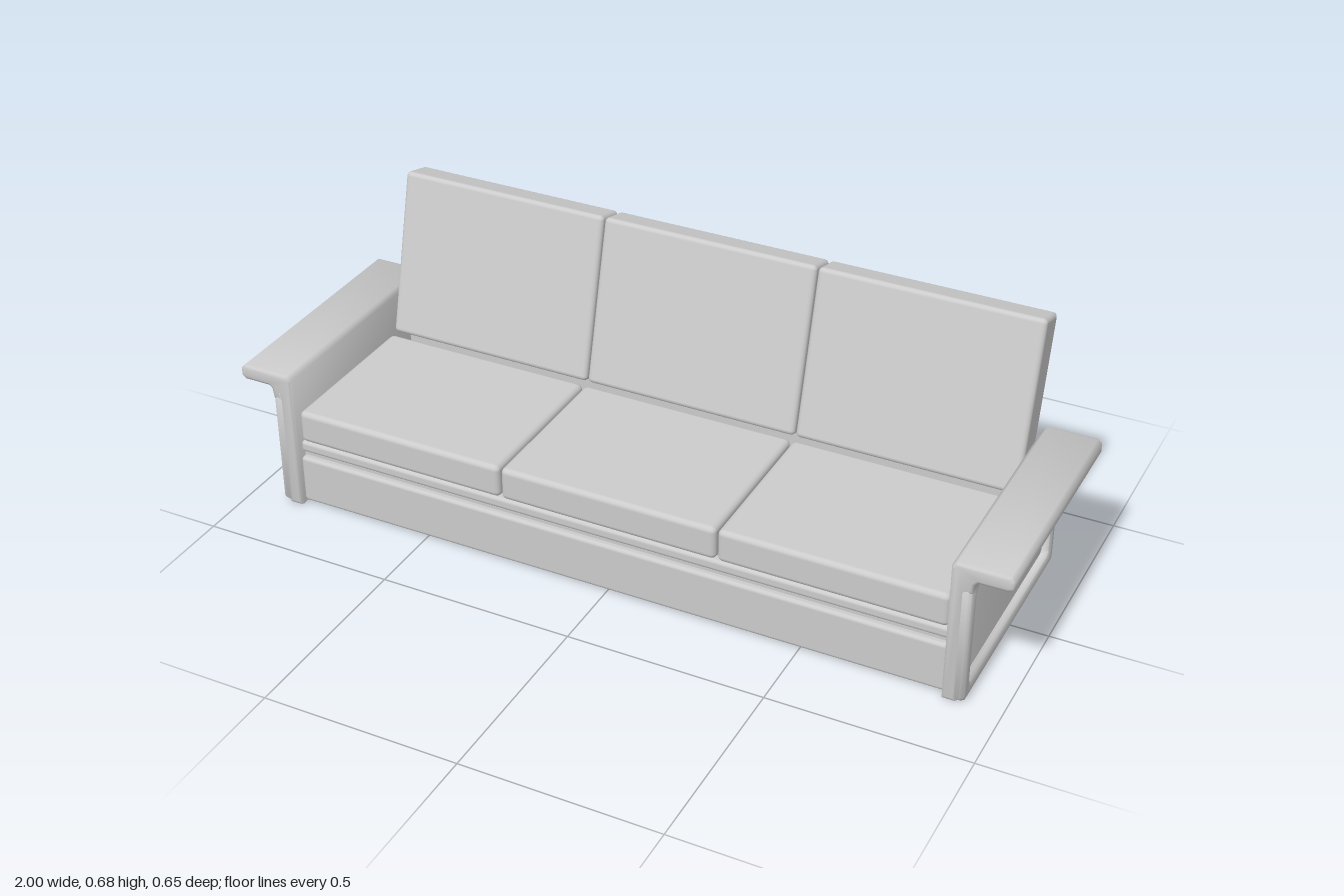
import * as THREE from 'three';
import { toCreasedNormals } from 'three/addons/utils/BufferGeometryUtils.js';
import { RoundedBoxGeometry } from 'three/addons/geometries/RoundedBoxGeometry.js';

const material = new THREE.MeshStandardMaterial({ color: 0xcccccc });

function add(parent, name, geometry, x = 0, y = 0, z = 0) {
  const mesh = new THREE.Mesh(geometry, material);
  mesh.name = name;
  mesh.position.set(x, y, z);
  parent.add(mesh);
  return mesh;
}

// Box with softened edges, given by its limits in y and z
function rail(parent, name, width, y0, y1, z0, z1, radius) {
  const geometry = new RoundedBoxGeometry(width, y1 - y0, z1 - z0, 2, radius);
  return add(parent, name, geometry, 0, (y0 + y1) / 2, (z0 + z1) / 2);
}

// Rectangle with cut corners
function cutRect(w, h, c) {
  return [
    [-w + c, -h], [w - c, -h], [w, -h + c], [w, h - c],
    [w - c, h], [-w + c, h], [-w, h - c], [-w, -h + c],
  ].map(([x, y]) => new THREE.Vector2(x, y));
}

function bevelled(shape, depth, bevel) {
  const geometry = new THREE.ExtrudeGeometry(shape, {
    depth: depth - 2 * bevel, bevelEnabled: true,
    bevelSize: bevel, bevelThickness: bevel, bevelSegments: 2,
  });
  geometry.translate(0, 0, bevel - depth / 2);
  return toCreasedNormals(geometry, 0.9);
}

function makeArm(side) {
  const arm = new THREE.Group();
  arm.name = side > 0 ? 'leftArm' : 'rightArm';

  // Inner wall and overhanging armrest as one profile along z
  const profile = [
    [0.863, 0.008], [0.882, 0.008], [0.882, 0.305], [0.902, 0.31],
    [0.905, 0.332], [0.916, 0.343], [0.986, 0.343], [0.992, 0.348],
    [0.992, 0.361], [0.986, 0.367], [0.87, 0.367], [0.863, 0.36],
  ].map(([x, y]) => new THREE.Vector2(x * side, y));
  add(arm, 'armrest', bevelled(new THREE.Shape(profile), 0.62, 0.008), 0, 0, 0.015);

  // Raised frame around the recessed outer panel
  const frame = new THREE.Shape(cutRect(0.298, 0.155, 0.005));
  frame.holes.push(new THREE.Path(cutRect(0.285, 0.14, 0.014)));
  const mesh = add(arm, 'armFrame', bevelled(frame, 0.034, 0.012), side * 0.893, 0.167, 0.015);
  mesh.rotation.y = side * Math.PI / 2;
  return arm;
}

export function createModel() {
  const sofa = new THREE.Group();
  sofa.name = 'sofa';

  sofa.add(makeArm(1), makeArm(-1));

  // Open base: rails at front and back only
  rail(sofa, 'frontRail', 1.716, 0.005, 0.135, 0.28, 0.307, 0.01);
  rail(sofa, 'frontGroove', 1.716, 0.128, 0.158, 0.272, 0.29, 0.004);
  rail(sofa, 'frontStrip', 1.716, 0.148, 0.179, 0.272, 0.302, 0.01);
  rail(sofa, 'backRail', 1.716, 0.005, 0.26, -0.24, -0.212, 0.011);

  // Three seat and back cushions
  for (const x of [-0.57, 0, 0.57]) {
    const seat = rail(sofa, 'seatCushion', 0.566, 0.18, 0.267, -0.127, 0.305, 0.014);
    seat.position.x = x;

    const back = add(sofa, 'backCushion',
      new RoundedBoxGeometry(0.567, 0.43, 0.089, 2, 0.012), x, 0.464, -0.232);
    back.rotation.x = -0.25;
  }
  return sofa;
}
